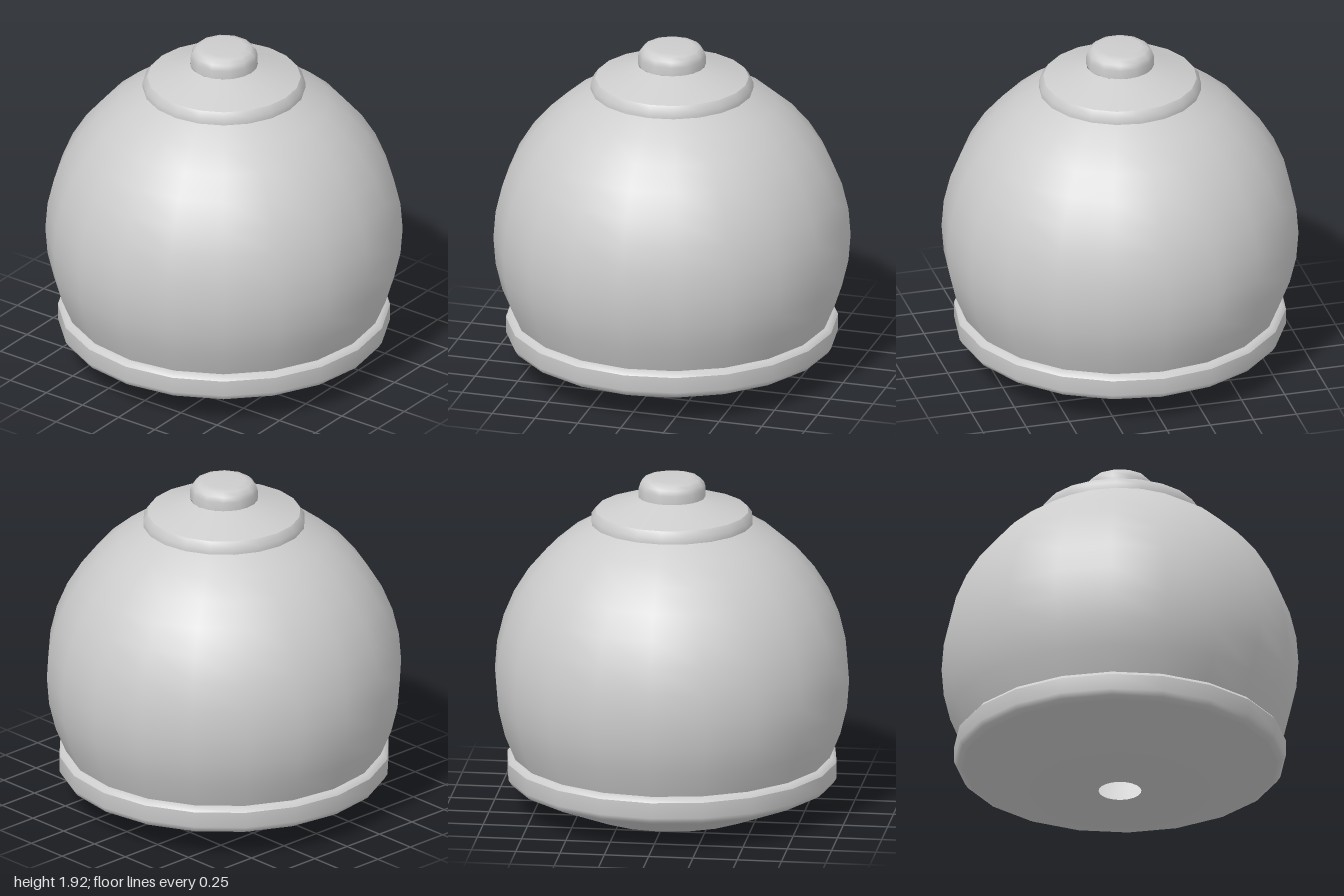
import * as THREE from 'three';

// Each strip is smooth in itself; edges stay sharp where strips meet.
function turned(name, strips, sides, material, turn = 0) {
  const group = new THREE.Group();
  group.name = name;
  for (const strip of strips) {
    const points = strip.map(([r, y]) => new THREE.Vector2(r, y));
    const mesh = new THREE.Mesh(new THREE.LatheGeometry(points, sides), material);
    mesh.name = name + 'Surface';
    mesh.rotation.y = turn;
    group.add(mesh);
  }
  return group;
}

export function createModel() {
  const model = new THREE.Group();
  model.name = 'roundJar';
  const grey = new THREE.MeshStandardMaterial({ color: 0xcccccc, side: THREE.DoubleSide });
  grey.name = 'plainGrey';

  // Hollow spherical body, open at both ends
  const body = [];
  for (let deg = -27; deg <= 63; deg += 9) {
    const a = THREE.MathUtils.degToRad(deg);
    body.push([Math.cos(a), 0.77 + Math.sin(a)]);
  }
  model.add(turned('body', [body], 20, grey));

  // Base with a round opening, a sloped underside and a bevelled band
  model.add(turned('base', [
    [[0.12, 0], [0.51, 0]],
    [[0.51, 0], [0.885, 0.155]],
    [[0.885, 0.155], [0.912, 0.17], [0.93, 0.2], [0.93, 0.29]],
    [[0.93, 0.29], [0.91, 0.313], [0.88, 0.315]],
  ], 20, grey));

  // Conical lid with a bevelled rim
  model.add(turned('lid', [
    [[0.44, 1.655], [0.455, 1.655]],
    [[0.455, 1.655], [0.455, 1.695], [0.43, 1.73]],
    [[0.43, 1.73], [0.19, 1.812], [0, 1.812]].slice(0, 2),
  ], 20, grey));

  // Rounded knob
  model.add(turned('knob', [
    [[0.19, 1.81], [0.19, 1.86], [0.18, 1.89], [0.157, 1.913], [0.12, 1.922], [0, 1.922]],
  ], 12, grey, Math.PI / 12));

  return model;
}
